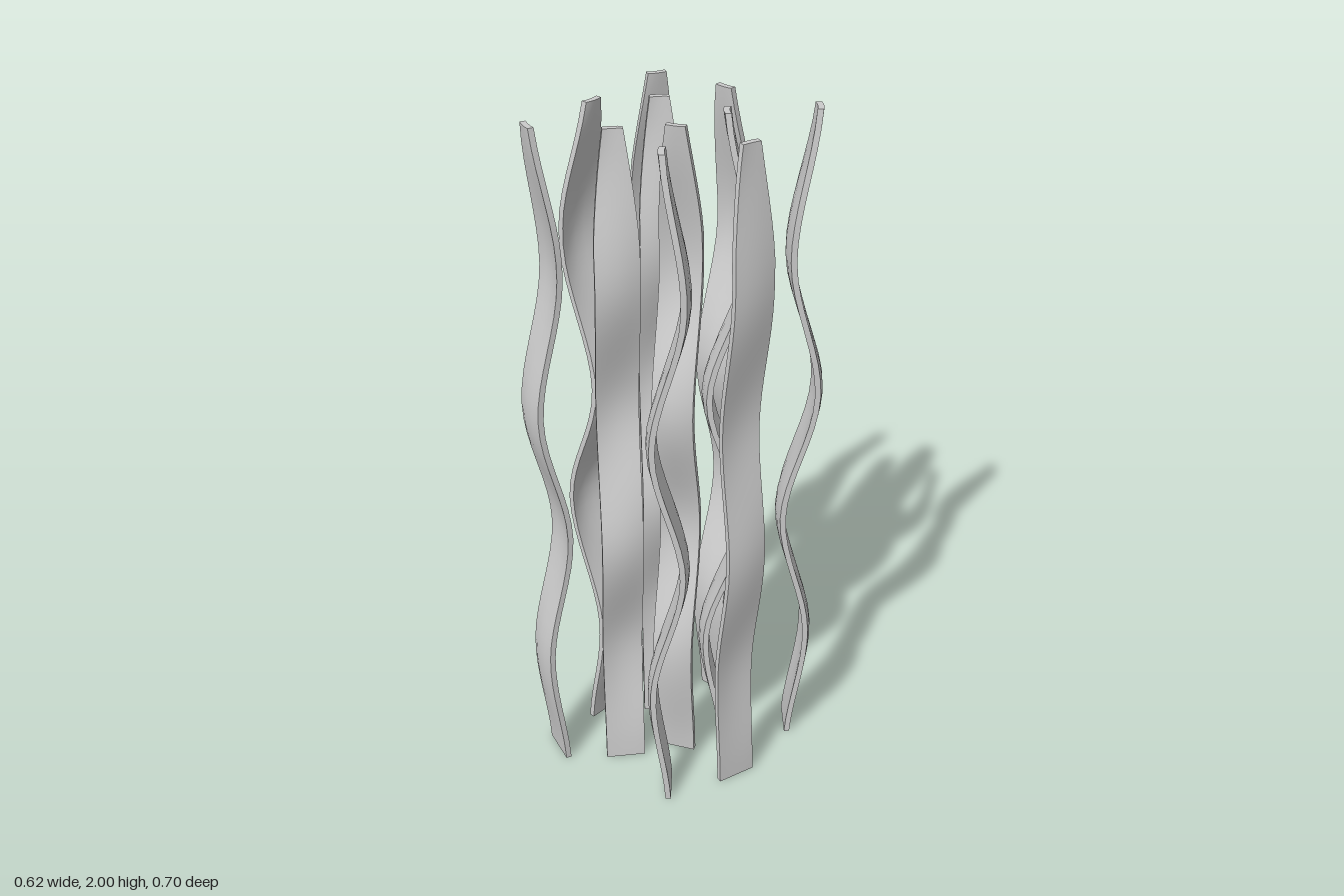
import * as THREE from 'three';

const WIDTH = 0.115, HEIGHT = 2, THICK = 0.016;

// Sideways sway of a blade along its height, as a fraction of its amplitude
const sway = new THREE.SplineCurve(
  [0, 1, -1, 1, -1, 0.3].map((d, i) => new THREE.Vector2(i * 0.4, d))
);

// One wavy blade: a thin strip, swaying along its local z and narrowing at the tip
function bladeGeometry(amplitude) {
  const geo = new THREE.BoxGeometry(WIDTH, HEIGHT, THICK, 4, 40, 1);
  const p = geo.attributes.position;
  for (let i = 0; i < p.count; i++) {
    const y = p.getY(i) + HEIGHT / 2;
    const u = p.getX(i) / (WIDTH / 2);
    const tip = Math.max(0, (y - 1.7) / 0.3);
    const bend = sway.getPoint(y / HEIGHT).y * amplitude * (1 - 0.2 * u * u);
    p.setXYZ(i, p.getX(i) * (1 - 0.56 * Math.pow(tip, 1.4)), y, p.getZ(i) + bend);
  }
  geo.computeVertexNormals();
  return geo;
}

// x, z, sway direction (x, z), amplitude
const blades = [
  [-0.244, -0.192, 0.89, 0.45, 0.049],
  [-0.036, -0.245, 0.03, 1, 0.052],
  [0.22, -0.276, 0.72, -0.7, 0.05],
  [0.094, -0.12, -0.74, 0.67, 0.066],
  [-0.099, -0.057, -0.76, -0.65, 0.047],
  [0.051, 0.04, 0.43, 0.9, 0.047],
  [0.265, 0.013, -0.96, -0.27, 0.029],
  [-0.231, 0.068, 1, 0, 0.067],
  [-0.033, 0.176, -0.77, -0.63, 0.047],
  [0.154, 0.185, -0.75, 0.66, 0.051],
  [-0.202, 0.285, -0.35, 0.93, 0.044],
];

export function createModel() {
  const group = new THREE.Group();
  group.name = 'seaweedCluster';
  const material = new THREE.MeshStandardMaterial({ color: 0xcccccc });
  blades.forEach(([x, z, dx, dz, amplitude], i) => {
    const blade = new THREE.Mesh(bladeGeometry(amplitude), material);
    blade.name = `blade${i + 1}`;
    blade.position.set(x, 0, z);
    blade.rotation.y = Math.atan2(dx, dz);
    group.add(blade);
  });
  return group;
}
